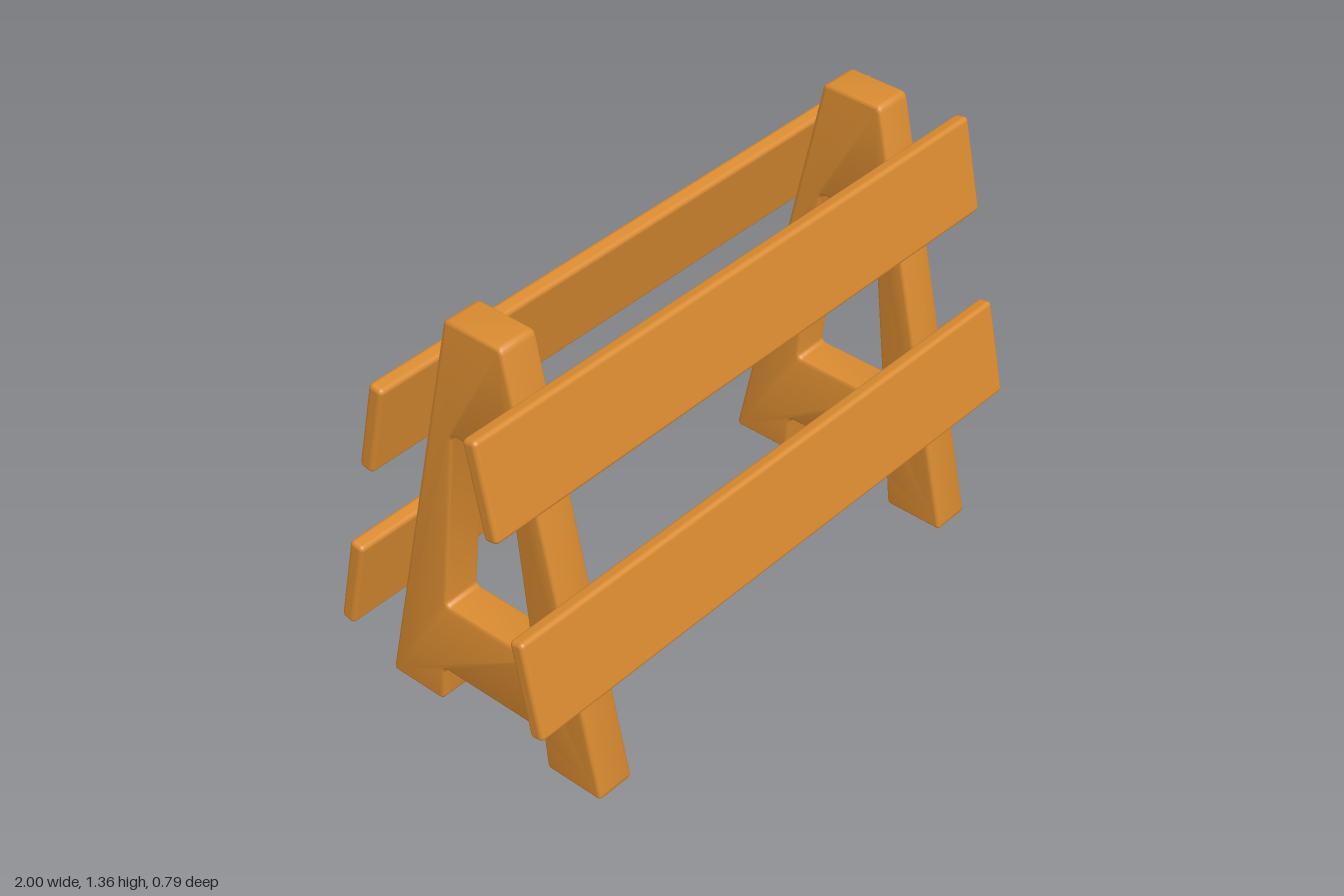
import * as THREE from 'three';
import { toCreasedNormals } from 'three/addons/utils/BufferGeometryUtils.js';
import { RoundedBoxGeometry } from 'three/addons/geometries/RoundedBoxGeometry.js';

const wood = new THREE.MeshStandardMaterial({ color: 0xd88a30 });

// Traces a closed polygon with softly rounded corners
function roundedPolygon(path, corners, radius) {
  const pts = corners.map(([x, y]) => new THREE.Vector2(x, y));
  const toward = (a, b) => a.clone().add(b.clone().sub(a).setLength(radius));
  pts.forEach((p, i) => {
    const start = toward(p, pts[(i + pts.length - 1) % pts.length]);
    const end = toward(p, pts[(i + 1) % pts.length]);
    if (i === 0) path.moveTo(start.x, start.y);
    else path.lineTo(start.x, start.y);
    path.quadraticCurveTo(p.x, p.y, end.x, end.y);
  });
  path.closePath();
  return path;
}

// A-shaped end frame, drawn in the z/y plane and extruded along x
function frameGeometry() {
  const half = [[0.2, 0], [0.4, 0], [0.1, 1.36]];
  const mirrored = half.map(([z, y]) => [-z, y]).reverse();
  const outline = [[0.188, 0.125], ...half, ...mirrored, [-0.188, 0.125]];
  const shape = roundedPolygon(new THREE.Shape(), outline, 0.018);
  const opening = [[-0.163, 0.373], [-0.097, 0.99], [0.097, 0.99], [0.163, 0.373]];
  shape.holes.push(roundedPolygon(new THREE.Path(), opening, 0.018));

  const width = 0.126, bevel = 0.012;
  const geometry = new THREE.ExtrudeGeometry(shape, {
    depth: width - 2 * bevel,
    bevelEnabled: true,
    bevelThickness: bevel,
    bevelSize: bevel,
    bevelOffset: -bevel,
    bevelSegments: 3,
    curveSegments: 4,
  });
  geometry.translate(0, 0, -(width / 2 - bevel));
  geometry.rotateY(-Math.PI / 2);
  return toCreasedNormals(geometry, 0.65);
}

export function createModel() {
  const model = new THREE.Group();
  model.name = 'plankBarrier';

  // End frames
  const frame = frameGeometry();
  for (const side of [1, -1]) {
    const mesh = new THREE.Mesh(frame, wood);
    mesh.name = side > 0 ? 'leftFrame' : 'rightFrame';
    mesh.position.x = 0.75 * side;
    model.add(mesh);
  }

  // Planks leaning along the sloping frame edges, front and back
  const planks = [
    { name: 'UpperPlank', y: 1.075, z: 0.193, height: 0.3 },
    { name: 'LowerPlank', y: 0.4875, z: 0.3225, height: 0.308 },
  ];
  for (const { name, y, z, height } of planks) {
    const geometry = new RoundedBoxGeometry(2, height, 0.048, 4, 0.014);
    for (const side of [1, -1]) {
      const mesh = new THREE.Mesh(geometry, wood);
      mesh.name = (side > 0 ? 'front' : 'back') + name;
      mesh.position.set(0, y, z * side);
      mesh.rotation.x = -0.21 * side;
      model.add(mesh);
    }
  }
  return model;
}
